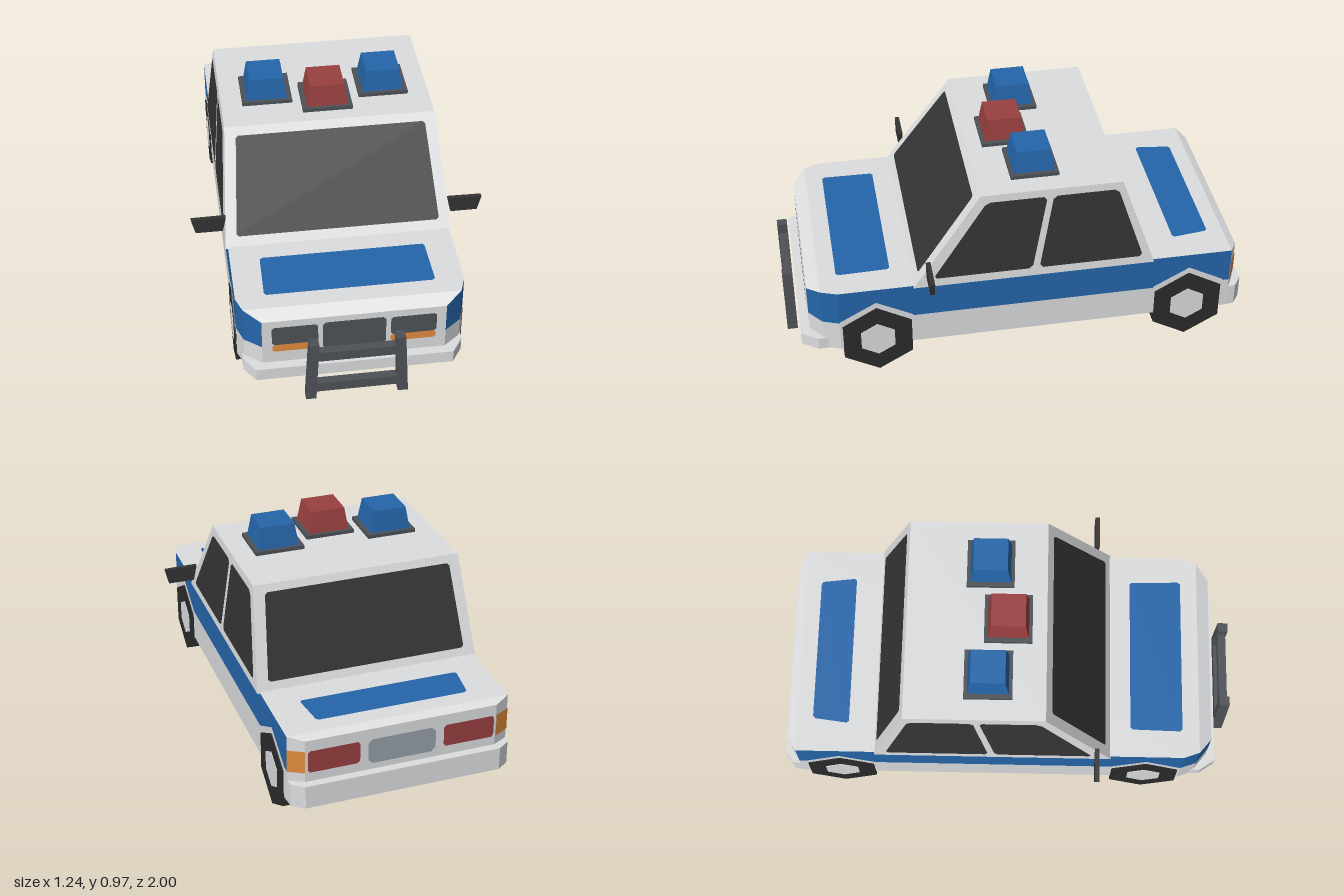
import * as THREE from 'three';

const mat = (name, color) => Object.assign(new THREE.MeshStandardMaterial({ color }), { name });

export function createModel() {
  const car = new THREE.Group();
  car.name = 'patrolCar';
  const white = mat('white paint', 0xdcdee0), blue = mat('blue paint', 0x2566ab), red = mat('red lamp', 0x9a4040),
    dark = mat('dark glass', 0x343434), black = mat('tyre rubber', 0x2b2b2b), grey = mat('dark grey', 0x4e5257),
    orange = mat('orange lamp', 0xe38d3f), silver = mat('number plate grey', 0x98a0a9);

  const add = (name, geo, material, parent = car) => {
    const mesh = new THREE.Mesh(geo, material);
    mesh.name = name;
    parent.add(mesh);
    return mesh;
  };
  // Flat-shaded geometry from convex polygons
  const polys = (faces) => {
    const pos = [];
    for (const f of faces)
      for (let i = 1; i < f.length - 1; i++) pos.push(...f[0], ...f[i], ...f[i + 1]);
    const geo = new THREE.BufferGeometry();
    geo.setAttribute('position', new THREE.Float32BufferAttribute(pos, 3));
    geo.computeVertexNormals();
    return geo;
  };
  const flat = (geo) => {
    const g = geo.toNonIndexed();
    g.computeVertexNormals();
    return g;
  };

  // Mirrored solid from a half plan of [x, z, topY], front to back;
  // side walls listed in accents get the accent material
  const hull = (name, half, y0, accents = [], accent = blue) => {
    const v = (i, s, top) => [s * half[i][0], top ? half[i][2] : y0, half[i][1]];
    const n = half.length - 1, plain = [], painted = [];
    plain.push([v(0, -1, 0), v(0, 1, 0), v(0, 1, 1), v(0, -1, 1)]);
    plain.push([v(n, 1, 0), v(n, -1, 0), v(n, -1, 1), v(n, 1, 1)]);
    for (let i = 0; i < n; i++) {
      const list = accents.includes(i) ? painted : plain;
      list.push([v(i, 1, 0), v(i + 1, 1, 0), v(i + 1, 1, 1), v(i, 1, 1)]);
      list.push([v(i, -1, 1), v(i + 1, -1, 1), v(i + 1, -1, 0), v(i, -1, 0)]);
      plain.push([v(i, -1, 1), v(i, 1, 1), v(i + 1, 1, 1), v(i + 1, -1, 1)]);
      plain.push([v(i + 1, -1, 0), v(i + 1, 1, 0), v(i, 1, 0), v(i, -1, 0)]);
    }
    add(name, polys(plain), white);
    if (painted.length) add(name + 'Stripe', polys(painted), accent);
  };

  // Thin face with clipped corners, lifted off the surface towards "out"
  const panel = (name, pts, out, material, clip = 0, lift = 0.004) => {
    let p = pts.map((q) => new THREE.Vector3(...q));
    const o = new THREE.Vector3(...out);
    const normal = p[1].clone().sub(p[0]).cross(p[2].clone().sub(p[0])).normalize();
    if (normal.dot(o) < 0) { p.reverse(); normal.negate(); }
    if (clip) p = p.flatMap((q, i) => [p.at(i - 1), p[(i + 1) % p.length]].map((r) =>
      q.clone().add(r.clone().sub(q).setLength(clip))));
    p.forEach((q) => q.addScaledVector(normal, lift));
    add(name, polys([p.map((q) => q.toArray())]), material);
  };
  const rectXY = (x0, x1, y0, y1, z) => [[x0, y0, z], [x1, y0, z], [x1, y1, z], [x0, y1, z]];

  // Body: lower sill, striped upper half, bumpers
  const plan = [[0.38, 0.905, 0.413], [0.45, 0.85, 0.44], [0.475, 0.78, 0.44], [0.475, -0.93, 0.44], [0.41, -0.965, 0.425]];
  hull('lowerBody', plan.map(([x, z]) => [x, z, 0.278]), 0.135);
  hull('upperBody', plan, 0.278, [0, 1, 2]);
  hull('frontBumper', [[0.41, 0.945, 0.19], [0.457, 0.875, 0.19], [0.457, 0.82, 0.19]], 0.133);
  hull('rearBumper', [[0.477, -0.9, 0.235], [0.47, -0.965, 0.235], [0.42, -1, 0.235]], 0.133);

  // Cabin: tapered block
  const cabinX = (y) => 0.485 - (y - 0.44) * 0.084;
  const frontZ = (y) => 0.455 - (y - 0.44) * 0.7;
  const rearZ = (y) => -0.58 + (y - 0.44) * 0.349;
  const cabin = new THREE.BoxGeometry(2, 1, 2), cp = cabin.attributes.position;
  for (let i = 0; i < cp.count; i++) {
    const y = cp.getY(i) > 0 ? 0.855 : 0.435;
    cp.setXYZ(i, cp.getX(i) * cabinX(y), y, cp.getZ(i) > 0 ? frontZ(y) : rearZ(y));
  }
  add('cabin', flat(cabin), white);

  // Windows
  const [lo, hi] = [0.475, 0.823];
  for (const [name, zAt, s] of [['windscreen', frontZ, 1], ['rearWindow', rearZ, -1]])
    panel(name, [[-0.435, lo, zAt(lo)], [0.435, lo, zAt(lo)], [0.405, hi, zAt(hi)], [-0.405, hi, zAt(hi)]], [0, 0.4, s], dark, 0.01);
  for (const s of [-1, 1]) {
    const side = (z, y) => [s * cabinX(y), y, z];
    panel('frontSideWindow', [side(0.375, lo), side(-0.05, lo), side(-0.115, hi), side(0.14, hi)], [s, 0, 0], dark, 0.015);
    panel('rearSideWindow', [side(-0.08, lo), side(-0.53, lo), side(-0.415, hi), side(-0.142, hi)], [s, 0, 0], dark, 0.015);
  }

  // Bonnet and boot panels
  panel('bonnetPanel', [[-0.355, 0.44, 0.775], [0.355, 0.44, 0.775], [0.35, 0.44, 0.545], [-0.35, 0.44, 0.545]], [0, 1, 0], blue, 0.01);
  panel('bootPanel', [[-0.345, 0.44, -0.7], [0.345, 0.44, -0.7], [0.325, 0.44, -0.86], [-0.325, 0.44, -0.86]], [0, 1, 0], blue, 0.01);

  // Grille, lamps and number plate
  panel('grille', rectXY(-0.13, 0.13, 0.245, 0.387, 0.905), [0, 0, 1], grey, 0.012);
  panel('numberPlate', rectXY(-0.145, 0.145, 0.265, 0.378, -0.965), [0, 0, -1], silver, 0.018);

  const bar = (name, pts, z0, z1, material, parent) => {
    const g = new THREE.ExtrudeGeometry(new THREE.Shape(pts.map((q) => new THREE.Vector2(...q))), { depth: z1 - z0, bevelEnabled: false });
    g.translate(0, 0, z0);
    add(name, g, material, parent);
  };
  const bullBar = new THREE.Group();
  bullBar.name = 'bullBar';
  car.add(bullBar);

  for (const s of [-1, 1]) {
    panel('headlamp', rectXY(s * 0.15, s * 0.34, 0.287, 0.382, 0.905), [0, 0, 1], grey, 0.01);
    panel('frontIndicator', rectXY(s * 0.15, s * 0.338, 0.25, 0.287, 0.905), [0, 0, 1], orange, 0.008);
    panel('tailLamp', rectXY(s * 0.18, s * 0.4, 0.278, 0.378, -0.965), [0, 0, -1], red, 0.01);
    panel('rearIndicator', [[s * 0.41, 0.278, -0.965], [s * 0.475, 0.278, -0.93], [s * 0.475, 0.378, -0.93], [s * 0.41, 0.378, -0.965]],
      [s, 0, -1], orange, 0, 0.003);

    // Door mirror
    bar('doorMirror', [[s * 0.475, 0.56], [s * 0.49, 0.49], [s * 0.605, 0.49], [s * 0.622, 0.558]], 0.383, 0.403, dark);
    // Bull bar upright
    bar('bullBarUpright', [[s * 0.213, 0.05], [s * 0.17, 0.05], [s * 0.157, 0.35], [s * 0.197, 0.35]], 0.955, 1, grey, bullBar);

    // Wheels and arches
    for (const z of [0.62, -0.745]) {
      panel('wheelArch', [[-0.157, 0.137], [0.157, 0.137], [0.157, 0.285], [0, 0.372], [-0.157, 0.285]].map(([dz, y]) => [s * 0.475, y, z + dz]),
        [s, 0, 0], white, 0, 0.002);
      for (const [name, r, w, x, m] of [['tyre', 0.171, 0.115, 0.423, black], ['hubcap', 0.084, 0.02, 0.473, white]]) {
        const g = flat(new THREE.CylinderGeometry(r, r, w, 6).rotateZ(Math.PI / 2).rotateX(Math.PI / 6));
        add(name, g, m).position.set(s * x, 0.172, z);
      }
    }
  }
  for (const [y, w] of [[0.278, 0.165], [0.107, 0.175]])
    add('bullBarCrossbar', new THREE.BoxGeometry(w * 2, 0.046, 0.036), grey, bullBar).position.set(0, y, 0.977);

  // Roof beacons
  for (const [x, z, m] of [[-0.252, -0.08, blue], [0, 0, red], [0.252, -0.08, blue]]) {
    add('beaconBase', new THREE.BoxGeometry(0.215, 0.02, 0.205), grey).position.set(x, 0.861, z);
    const g = flat(new THREE.CylinderGeometry(0.073 * Math.SQRT2, 0.088 * Math.SQRT2, 0.098, 4).rotateY(Math.PI / 4));
    add('beaconLamp', g, m).position.set(x, 0.918, z);
  }
  return car;
}
